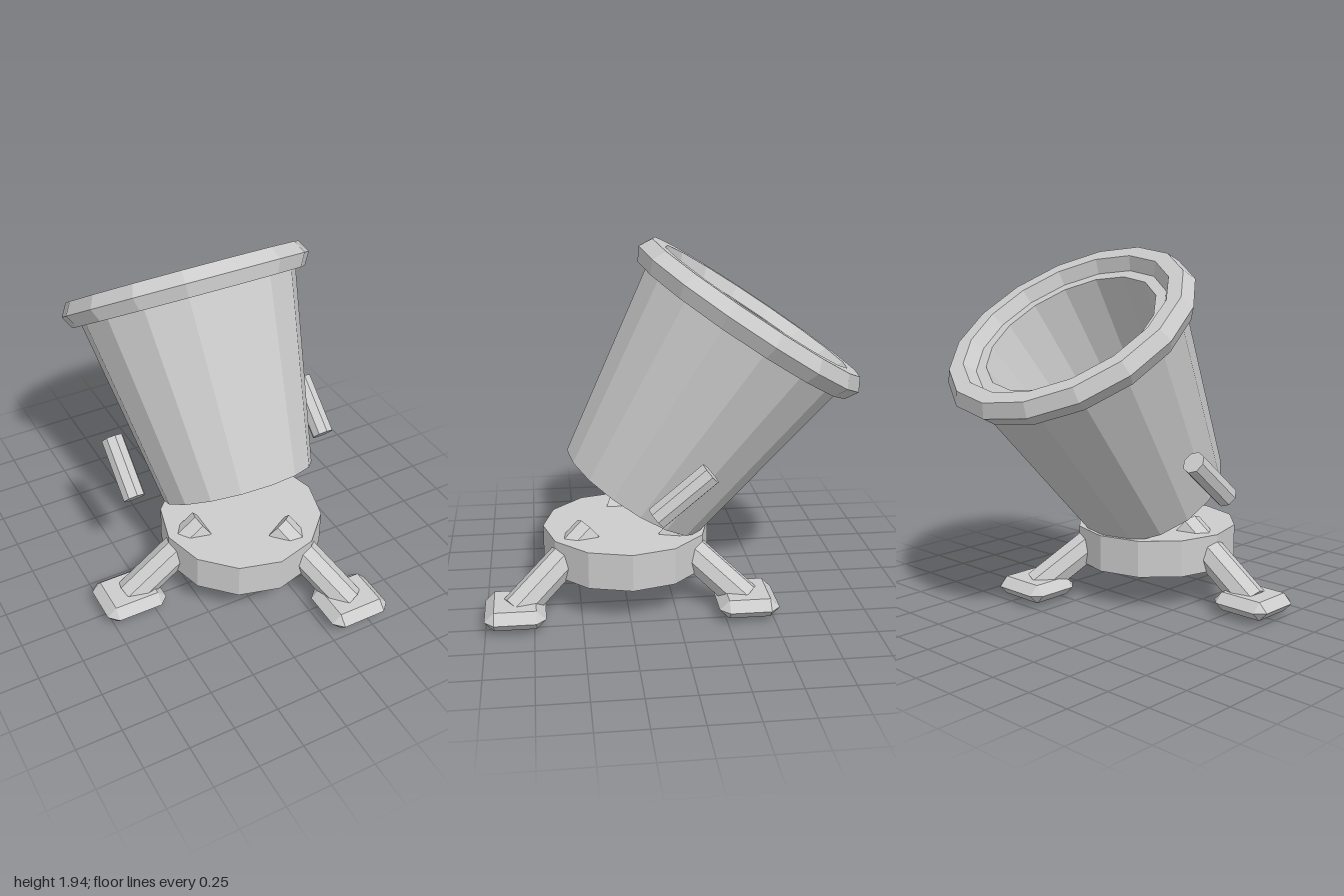
import * as THREE from 'three';
import { ConvexGeometry } from 'three/addons/geometries/ConvexGeometry.js';

const rad = THREE.MathUtils.degToRad;

export function createModel() {
  const model = new THREE.Group();
  const material = new THREE.MeshStandardMaterial({ color: 0xcccccc, flatShading: true });
  const CX = 0.09, CZ = 0.24; // centre of the base

  function add(name, geometry, parent, x = 0, y = 0, z = 0) {
    const mesh = new THREE.Mesh(geometry, material);
    mesh.name = name;
    mesh.position.set(x, y, z);
    parent.add(mesh);
    return mesh;
  }

  // Twelve-sided base plate
  add('base', new THREE.CylinderGeometry(0.45, 0.45, 0.2, 12), model, CX, 0.3, CZ);

  // Tilted barrel: tapered hollow pot with a hexagonal-section rim
  const barrel = new THREE.Group();
  barrel.name = 'barrel';
  barrel.position.set(CX, 0.594, 0.198);
  barrel.rotation.x = rad(-33.5);
  model.add(barrel);

  const profile = [[0, 0], [0.422, 0], [0.6125, 1.115], [0.476, 1.115], [0.31, 0.1], [0, 0.1]]
    .map(([r, y]) => new THREE.Vector2(r, y));
  add('barrelShell', new THREE.LatheGeometry(profile, 16), barrel);
  const rim = add('barrelRim', new THREE.TorusGeometry(0.6125, 0.08, 6, 16), barrel, 0, 1.115, 0);
  rim.rotation.x = Math.PI / 2;

  // Side pins, one on each side of the barrel
  for (const side of [-1, 1]) {
    const pin = add(side > 0 ? 'leftPin' : 'rightPin',
      new THREE.CylinderGeometry(0.062, 0.062, 0.347, 8), model, CX + side * 0.593, 0.77, 0);
    pin.rotation.x = rad(-50);
  }

  // Chamfered foot: smaller rectangles above and below an eight-cornered middle
  const footPoints = [];
  const w = 0.175, d = 0.158, c = 0.05;
  for (const sx of [-1, 1]) for (const sz of [-1, 1]) {
    footPoints.push(
      new THREE.Vector3(sx * w, 0, sz * (d - c)),
      new THREE.Vector3(sx * (w - c), 0, sz * d),
      new THREE.Vector3(sx * (w - c), c, sz * (d - c)),
      new THREE.Vector3(sx * (w - c), -c, sz * (d - c)));
  }
  const footGeometry = new ConvexGeometry(footPoints);

  // Three splayed legs through the base, each ending in a foot
  const legGeometry = new THREE.CylinderGeometry(0.088, 0.088, 0.566, 8);
  for (const angle of [60, -60, 180]) {
    const a = rad(angle);
    const pivot = new THREE.Group();
    pivot.name = 'legGroup';
    pivot.position.set(CX, 0, CZ);
    pivot.rotation.y = a;
    model.add(pivot);
    const leg = add('leg', legGeometry, pivot, 0.465, 0.241, 0);
    leg.rotation.z = rad(54.5);
    add('foot', footGeometry, model, CX + 0.7 * Math.cos(a), 0.08, CZ - 0.7 * Math.sin(a));
  }

  return model;
}
